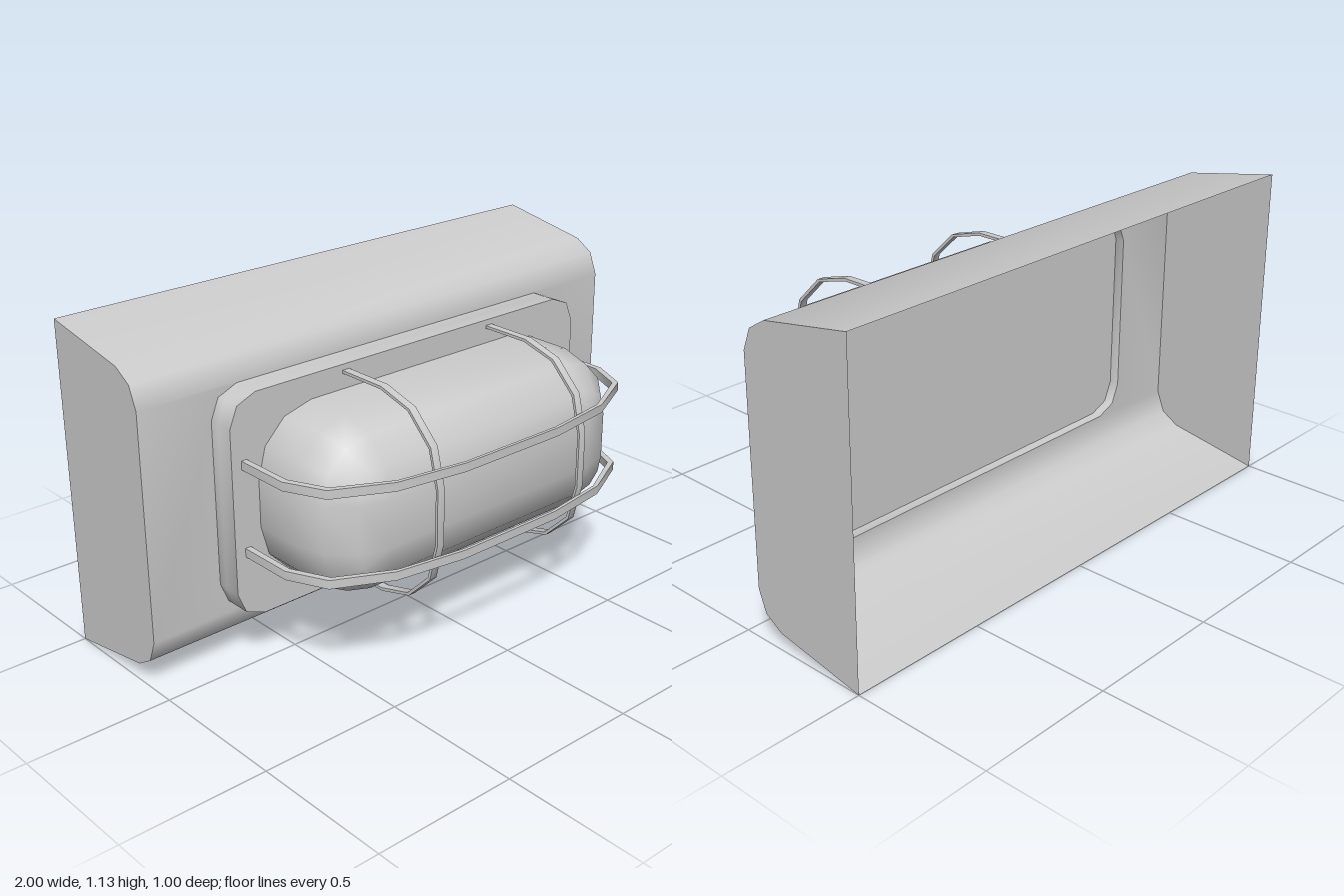
import * as THREE from 'three';
import { mergeGeometries, toCreasedNormals } from 'three/addons/utils/BufferGeometryUtils.js';

const material = new THREE.MeshStandardMaterial({ color: 0xcccccc, side: THREE.DoubleSide });

function part(name, geometry, crease) {
  const mesh = new THREE.Mesh(toCreasedNormals(geometry, crease), material);
  mesh.name = name;
  return mesh;
}

// Rounded rectangle, anticlockwise, given its straight half-sizes and corner radius
function roundedRing(cx, cy, hx, hy, r, segments, z) {
  const points = [];
  [[1, 1], [-1, 1], [-1, -1], [1, -1]].forEach(([sx, sy], q) => {
    for (let i = 0; i <= segments; i++) {
      const a = (q + i / segments) * Math.PI / 2;
      points.push([cx + sx * hx + r * Math.cos(a), cy + sy * hy + r * Math.sin(a), z]);
    }
  });
  return points;
}

// Skin between consecutive sections; may close each section and cap the last one
function loft(rings, { closed = true, cap = false, skip = -1 } = {}) {
  const n = rings[0].length, index = [];
  for (let i = 0; i < rings.length - 1; i++) {
    if (i === skip) continue;
    for (let j = 0; j < (closed ? n : n - 1); j++) {
      const k = (j + 1) % n;
      const a = i * n + j, b = i * n + k, c = b + n, d = a + n;
      index.push(a, b, c, a, c, d);
    }
  }
  if (cap) {
    const o = (rings.length - 1) * n;
    for (let j = 1; j < n - 1; j++) index.push(o, o + j, o + j + 1);
  }
  const g = new THREE.BufferGeometry();
  g.setAttribute('position', new THREE.Float32BufferAttribute(rings.flat(2), 3));
  g.setIndex(index);
  return g.toNonIndexed();
}

const toShape = (pts) => new THREE.Shape(pts.map(([x, y]) => new THREE.Vector2(x, y)));

function flat(shape) {
  const g = new THREE.ShapeGeometry(shape).toNonIndexed();
  g.deleteAttribute('uv');
  g.deleteAttribute('normal');
  return g;
}

// Flat strap: half of its outer and inner edge, mirrored, then extruded to its width
function strap(outer, inner, width) {
  const mirrored = (half) => [...half, ...half.slice().reverse().map(([u, v]) => [-u, v])];
  const shape = toShape([...mirrored(outer), ...mirrored(inner).reverse()]);
  const g = new THREE.ExtrudeGeometry(shape, { depth: width, bevelEnabled: false });
  return g.translate(0, 0, -width / 2).rotateX(Math.PI / 2);
}

export function createModel() {
  const group = new THREE.Group();
  const plateRing = (z) => roundedRing(0.015, 0.572, 0.655, 0.282, 0.1, 2, z);

  // Housing: open-backed shell with flat ends and a hole behind the plate
  const lower = [[-0.5, 0], [-0.16, 0.06], [-0.095, 0.1], [-0.065, 0.175]];
  const profile = [...lower, ...lower.slice().reverse().map(([z, y]) => [z, 1.132 - y])];
  const wrap = loft(profile.map(([z, y]) => [[-1, y, z], [1, y, z]]), { closed: false, skip: 3 });
  const front = toShape([[-1, 0.175], [1, 0.175], [1, 0.957], [-1, 0.957]]);
  front.holes.push(toShape(plateRing(0)));
  const leftEnd = flat(toShape(profile.map(([z, y]) => [-z, y])));
  const rightEnd = flat(toShape(profile));
  const shell = mergeGeometries([
    wrap,
    flat(front).translate(0, 0, -0.065),
    leftEnd.rotateY(Math.PI / 2).translate(1, 0, 0),
    rightEnd.rotateY(-Math.PI / 2).translate(-1, 0, 0),
  ]);
  group.add(part('housing', shell, 1.3));

  // Mounting plate with a shallow hollow in its back
  const plate = new THREE.ExtrudeGeometry(toShape(plateRing(0)), { depth: 0.06, bevelEnabled: false });
  group.add(part('mountingPlate', plate.translate(0, 0, -0.03), 0.9));
  group.add(part('plateSkirt', loft([plateRing(-0.065), plateRing(-0.03)]), 0.9));

  // Lens: pillow with rounded edges
  const r = 0.213;
  const lensRing = (radius, z) => roundedRing(0.0125, 0.578, 0.44, 0.08, radius, 3, z);
  const rings = [lensRing(r, 0.03)];
  for (let i = 0; i <= 3; i++) {
    const a = i * Math.PI / 6;
    rings.push(lensRing(r * Math.cos(a), 0.198 + r * Math.sin(a)));
  }
  group.add(part('lens', loft(rings, { cap: true }), 0.9));

  // Guard: two long straps across and two short ones up and down
  const guard = new THREE.Group();
  guard.name = 'guard';
  for (const y of [0.428, 0.727]) {
    const g = strap(
      [[0.707, 0.03], [0.707, 0.23], [0.645, 0.365], [0.455, 0.46], [0.205, 0.497]],
      [[0.686, 0.03], [0.686, 0.225], [0.627, 0.353], [0.443, 0.449], [0.2, 0.486]], 0.03);
    const mesh = part('horizontalBar', g, 0.8);
    mesh.position.set(0.004, y, 0);
    guard.add(mesh);
  }
  for (const x of [-0.285, 0.35]) {
    const g = strap(
      [[0.358, 0.03], [0.358, 0.215], [0.322, 0.343], [0.226, 0.441], [0.096, 0.474]],
      [[0.348, 0.03], [0.348, 0.21], [0.314, 0.336], [0.22, 0.432], [0.094, 0.465]], 0.028);
    const mesh = part('verticalBar', g.rotateZ(Math.PI / 2), 0.8);
    mesh.position.set(x, 0.576, 0);
    guard.add(mesh);
  }
  group.add(guard);
  return group;
}
